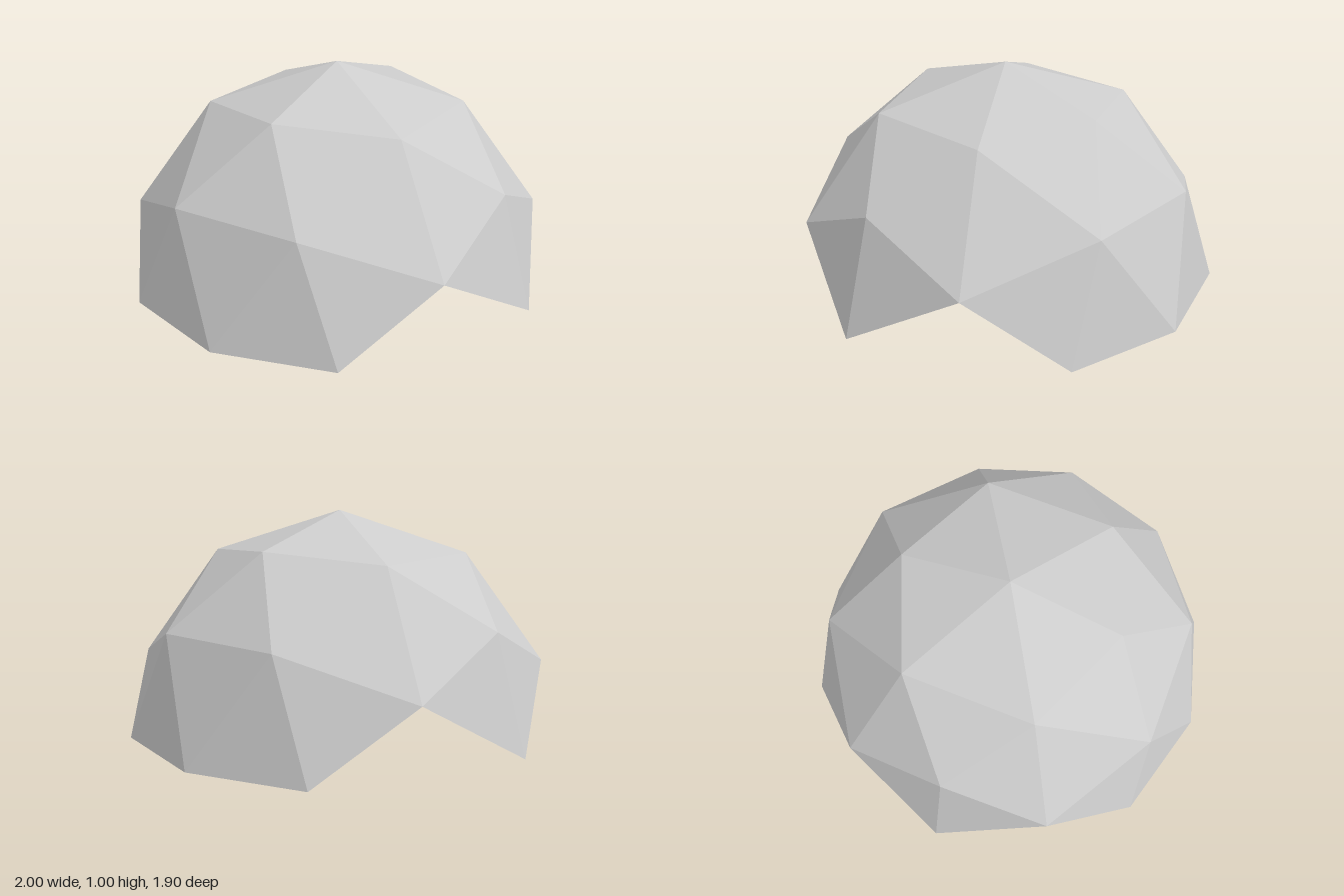
import * as THREE from 'three';

const mat = (name, color, extra = {}) => {
  const m = new THREE.MeshStandardMaterial({ color, ...extra });
  m.name = name;
  return m;
};

// Upper half of a once-divided icosahedron; faces crossing the ground are left out as doorways
function domeGeometry() {
  const src = new THREE.IcosahedronGeometry(1, 1);
  src.rotateY(Math.atan2(1, (1 + Math.sqrt(5)) / 2));
  const p = src.getAttribute('position');
  const out = [];
  for (let i = 0; i < p.count; i += 3) {
    if (Math.min(p.getY(i), p.getY(i + 1), p.getY(i + 2)) < -0.01) continue;
    for (let k = i; k < i + 3; k++) out.push(p.getX(k), Math.max(0, p.getY(k)), p.getZ(k));
  }
  const geo = new THREE.BufferGeometry();
  geo.setAttribute('position', new THREE.Float32BufferAttribute(out, 3));
  geo.computeVertexNormals();
  return geo;
}

export function createModel() {
  const shellGrey = mat('shell grey', 0xcccccc, { side: THREE.DoubleSide, flatShading: true });
  const green = mat('carriage green', 0x2a9a5e);
  const roofGreen = mat('roof dark green', 0x2c5a45);
  const glass = mat('window pale', 0xd8e4dc);
  const dark = mat('underframe dark grey', 0x3c3c3c);
  const metal = mat('metal grey', 0x9a9a9a);

  const model = new THREE.Group();
  const add = (parent, name, geo, material, x = 0, y = 0, z = 0) => {
    const mesh = new THREE.Mesh(geo, material);
    mesh.name = name;
    mesh.position.set(x, y, z);
    parent.add(mesh);
    return mesh;
  };

  add(model, 'dome', domeGeometry(), shellGrey);

  // Small railway carriage standing inside the dome
  const car = new THREE.Group();
  car.name = 'carriage';
  car.position.z = -0.035;
  model.add(car);
  const L = 0.32, W = 0.056;

  add(car, 'body', new THREE.BoxGeometry(W, 0.046, L), green, 0, 0.046, 0);
  add(car, 'underframe', new THREE.BoxGeometry(W * 0.9, 0.008, L * 0.97), dark, 0, 0.019, 0);

  // Arched roof
  const arch = new THREE.Shape();
  arch.absellipse(0, 0, W / 2 + 0.001, 0.021, 0, Math.PI, false);
  arch.closePath();
  const roof = new THREE.ExtrudeGeometry(arch, { depth: L, bevelEnabled: false, curveSegments: 10 });
  add(car, 'roof', roof, roofGreen, 0, 0.069, -L / 2);

  // Plain rear end plate, arched like the roof
  const end = new THREE.Shape();
  end.moveTo(-W / 2, 0.023);
  end.lineTo(W / 2, 0.023);
  end.lineTo(W / 2, 0.069);
  end.absellipse(0, 0.069, W / 2, 0.02, 0, Math.PI, false);
  end.closePath();
  const plate = new THREE.ExtrudeGeometry(end, { depth: 0.003, bevelEnabled: false, curveSegments: 10 });
  add(car, 'rearPlate', plate, metal, 0, 0, -L / 2 - 0.003);

  // Front windows and buffer beam
  for (const s of [-1, 1]) {
    add(car, 'frontWindow', new THREE.BoxGeometry(0.019, 0.02, 0.002), glass, s * 0.0135, 0.056, L / 2 + 0.001);
  }
  add(car, 'bufferBeam', new THREE.BoxGeometry(W, 0.012, 0.006), metal, 0, 0.018, L / 2);

  // Side windows
  for (const s of [-1, 1]) {
    for (let i = 0; i < 9; i++) {
      add(car, 'sideWindow', new THREE.BoxGeometry(0.002, 0.019, 0.024), glass,
        s * (W / 2 + 0.0005), 0.055, (i - 4) * 0.034);
    }
  }

  // Two bogies with four wheels each
  const wheel = new THREE.CylinderGeometry(0.011, 0.011, 0.006, 12).rotateZ(Math.PI / 2);
  for (const e of [-1, 1]) {
    const bogie = new THREE.Group();
    bogie.name = 'bogie';
    bogie.position.z = e * 0.105;
    car.add(bogie);
    add(bogie, 'bogieFrame', new THREE.BoxGeometry(0.036, 0.01, 0.07), dark, 0, 0.012, 0);
    for (const s of [-1, 1]) {
      for (const z of [-0.022, 0.022]) add(bogie, 'wheel', wheel, metal, s * 0.021, 0.011, z);
    }
  }
  return model;
}
